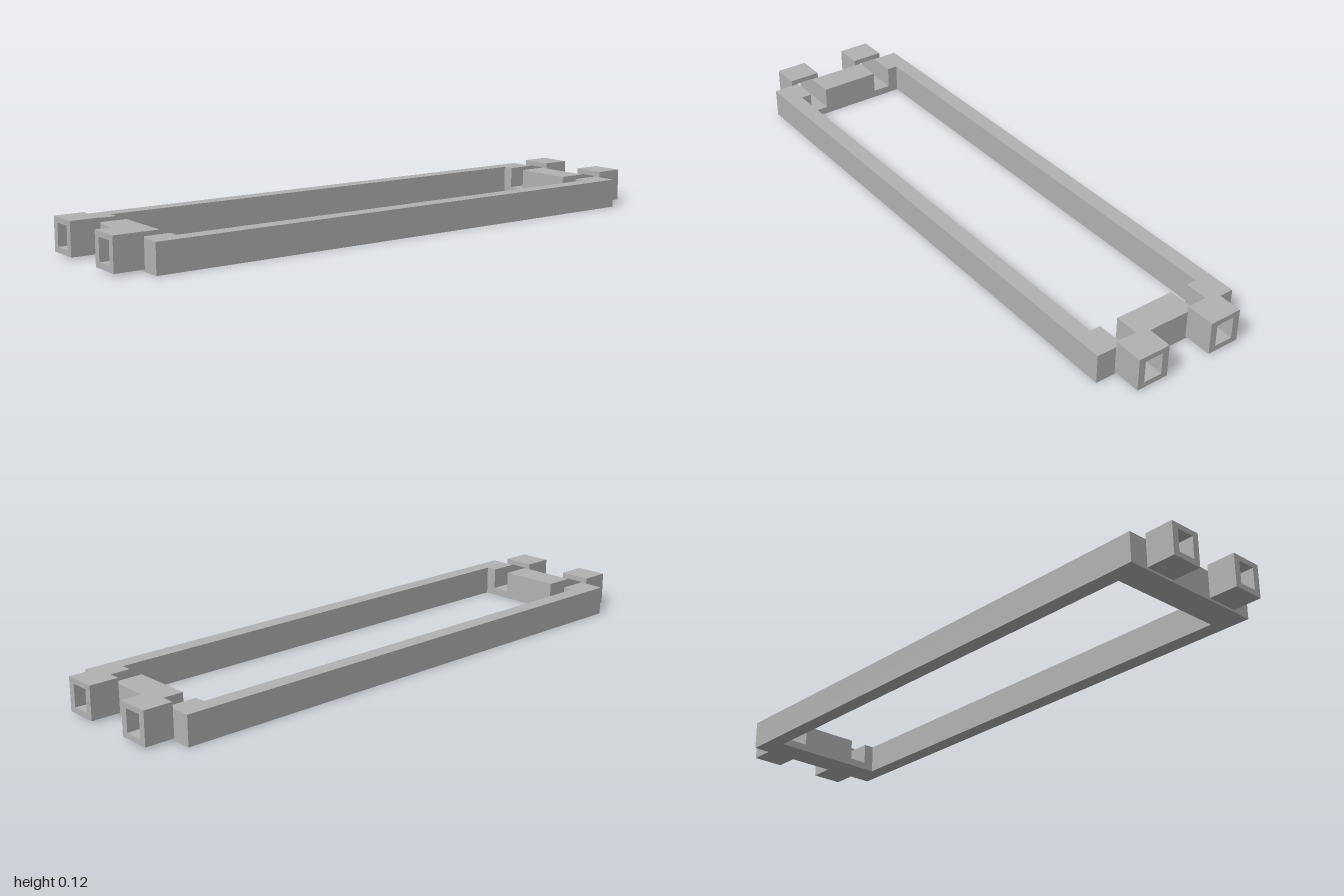
import * as THREE from 'three';

const FRAME_X = 0.904, INNER_X = 0.808; // end bars
const FRAME_Z = 0.253, INNER_Z = 0.2;   // side rails
const HEIGHT = 0.096;
const SLOT_IN = 0.102, SLOT_OUT = 0.164, SLOT_Y = 0.025, SLOT_TOP = 0.098;

// Extrudes a z/y profile along x, from x0 to x1
function extrudeAlongX(shape, x0, x1) {
  const geometry = new THREE.ExtrudeGeometry(shape, { depth: x1 - x0, bevelEnabled: false });
  return geometry.rotateY(Math.PI / 2).translate(x0, 0, 0);
}

function polygon(points) {
  return points.map(([u, y]) => new THREE.Vector2(u, y));
}

function rect(u0, u1, y0, y1) {
  return polygon([[u0, y0], [u1, y0], [u1, y1], [u0, y1]]);
}

export function createModel() {
  const model = new THREE.Group();
  model.name = 'slottedFrame';
  const grey = new THREE.MeshStandardMaterial({ color: 0xb2b2b2 });
  grey.name = 'grey';

  const add = (name, geometry) => {
    const mesh = new THREE.Mesh(geometry, grey);
    mesh.name = name;
    model.add(mesh);
  };

  // Long side rails
  for (const side of [1, -1]) {
    const rail = new THREE.BoxGeometry(2 * FRAME_X, HEIGHT, FRAME_Z - INNER_Z);
    rail.translate(0, HEIGHT / 2, side * (FRAME_Z + INNER_Z) / 2);
    add(side > 0 ? 'frontRail' : 'backRail', rail);
  }

  // End bar profile with two grooves open at the top
  const half = [[INNER_Z, HEIGHT], [SLOT_OUT, HEIGHT], [SLOT_OUT, SLOT_Y], [SLOT_IN, SLOT_Y], [SLOT_IN, HEIGHT]];
  const mirrored = half.map(([u, y]) => [-u, y]).reverse();
  const barShape = new THREE.Shape(polygon([[-INNER_Z, 0], [INNER_Z, 0], ...half, ...mirrored]));

  for (const end of [1, -1]) {
    const label = end > 0 ? 'left' : 'right';
    const span = (a, b) => (end > 0 ? [a, b] : [-b, -a]);
    add(label + 'EndBar', extrudeAlongX(barShape, ...span(INNER_X, FRAME_X)));

    // Square tubes continuing the grooves outward
    for (const side of [1, -1]) {
      const order = (a, b) => (side > 0 ? [a, b] : [-b, -a]);
      const tube = new THREE.Shape(rect(...order(0.079, 0.187), 0.007, 0.115));
      tube.holes.push(new THREE.Path(rect(...order(SLOT_IN, SLOT_OUT), SLOT_Y, SLOT_TOP)));
      add(label + (side > 0 ? 'Back' : 'Front') + 'Socket', extrudeAlongX(tube, ...span(FRAME_X, 1)));
    }
  }
  return model;
}
